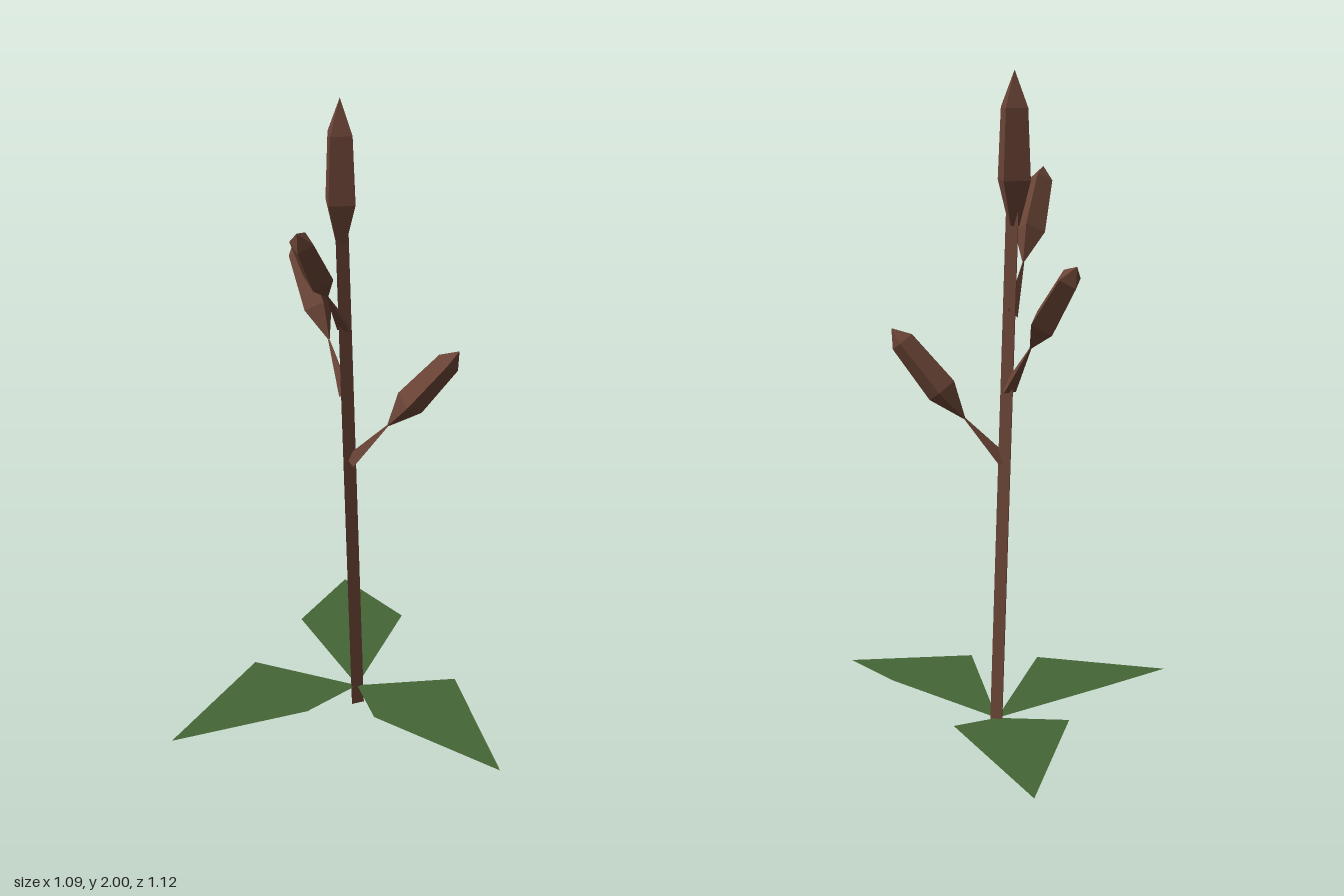
import * as THREE from 'three';

const V = (x, y, z) => new THREE.Vector3(x, y, z);

// Faceted skin over rings of points; each ring is [distance along axis, radius]
function spindle(from, to, rings, sides, mat, name, twist = 0) {
  const axis = to.clone().sub(from);
  const length = axis.length();
  axis.normalize();
  // side stays level, up completes the frame
  const side = Math.abs(axis.y) > 0.99 ? V(1, 0, 0) : V(0, 1, 0).cross(axis).normalize();
  const up = axis.clone().cross(side).normalize();
  side.copy(up).cross(axis).normalize();
  const point = ([t, r], i) => {
    const a = twist + (i / sides) * Math.PI * 2;
    return from.clone()
      .addScaledVector(axis, t * length)
      .addScaledVector(side, r * Math.cos(a))
      .addScaledVector(up, r * Math.sin(a));
  };
  const pts = [];
  for (let k = 0; k < rings.length - 1; k++) {
    for (let i = 0; i < sides; i++) {
      const a = point(rings[k], i), b = point(rings[k], i + 1);
      const c = point(rings[k + 1], i + 1), d = point(rings[k + 1], i);
      if (rings[k][1] > 0) pts.push(a, b, c);
      if (rings[k + 1][1] > 0) pts.push(a, c, d);
    }
  }
  const geo = new THREE.BufferGeometry().setFromPoints(pts);
  geo.computeVertexNormals();
  const mesh = new THREE.Mesh(geo, mat);
  mesh.name = name;
  return mesh;
}

// Four-cornered leaf folded into a shallow valley, softly shaded as one surface
function leaf(angle, mat) {
  const corner = (r, a, y) => V(-0.105 + r * Math.cos(a), y, -0.06 + r * Math.sin(a));
  const spread = 0.54;
  const base = corner(0, 0, 0.06), tip = corner(0.667, angle, 0.08);
  const a = corner(0.328, angle - spread, 0.15), b = corner(0.328, angle + spread, 0.15);
  const geo = new THREE.BufferGeometry().setFromPoints([base, tip, a, base, b, tip]);
  geo.setAttribute('normal', new THREE.Float32BufferAttribute(Array(6).fill([0, 1, 0]).flat(), 3));
  const mesh = new THREE.Mesh(geo, mat);
  mesh.name = 'leaf';
  return mesh;
}

export function createModel() {
  const model = new THREE.Group();
  model.name = 'plant';
  const bark = new THREE.MeshStandardMaterial({ color: 0x6a4436, flatShading: true });
  bark.name = 'bark brown';
  const green = new THREE.MeshStandardMaterial({ color: 0x446636, side: THREE.DoubleSide });
  green.name = 'leaf green';

  // Leaning three-sided stem
  const stemGeo = new THREE.CylinderGeometry(0.024, 0.024, 1.6, 3);
  const p = stemGeo.attributes.position;
  for (let i = 0; i < p.count; i++) {
    const y = p.getY(i) + 0.8;
    p.setXYZ(i, p.getX(i) - 0.107 - 0.053 * (y / 1.6), y, p.getZ(i) - 0.059);
  }
  stemGeo.computeVertexNormals();
  const stem = new THREE.Mesh(stemGeo, bark);
  stem.name = 'stem';
  model.add(stem);

  // Large bud at the top
  model.add(spindle(V(-0.16, 1.56, -0.06), V(-0.16, 2, -0.06),
    [[0, 0.018], [0.295, 0.056], [0.76, 0.046], [1, 0]], 4, bark, 'topBud'));

  // Side branches, each with a bud: [start, joint, tip]
  const branches = [
    [V(-0.125, 0.86, -0.06), V(-0.027, 0.99, -0.118), V(0.168, 1.253, -0.21)],
    [V(-0.145, 1.08, -0.065), V(-0.25, 1.22, -0.112), V(-0.45, 1.477, -0.195)],
    [V(-0.147, 1.3, -0.06), V(-0.12, 1.44, 0.055), V(-0.06, 1.703, 0.262)],
  ];
  for (const [start, joint, tip] of branches) {
    model.add(spindle(start, joint, [[0, 0.024], [1, 0.003]], 3, bark, 'branch', Math.PI / 2));
    model.add(spindle(joint, tip, [[0, 0.003], [0.31, 0.047], [0.85, 0.037], [1, 0]], 4, bark, 'sideBud'));
  }

  // Three ground leaves
  for (const degrees of [12, 111, 228.5]) model.add(leaf(THREE.MathUtils.degToRad(degrees), green));

  return model;
}
